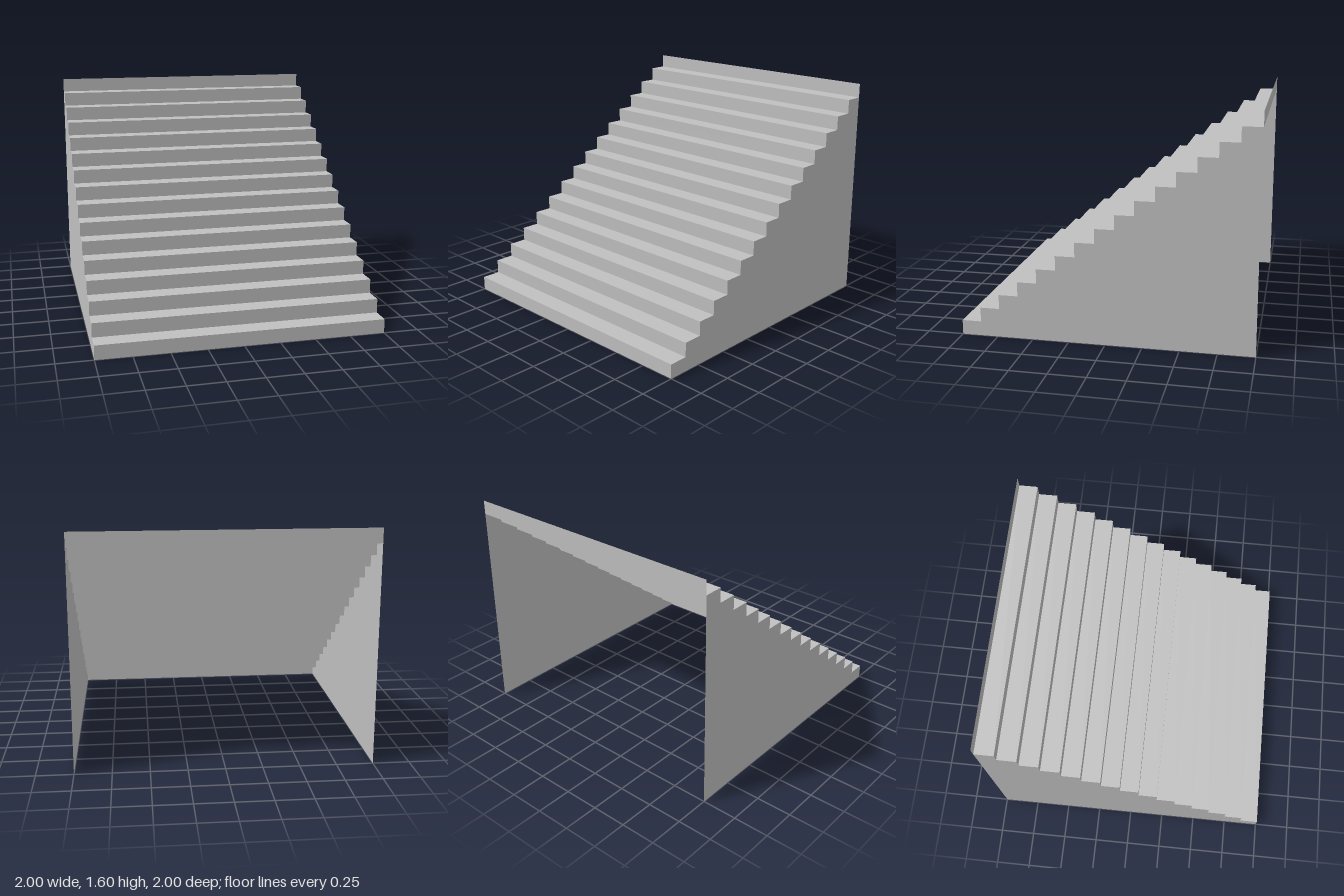
import * as THREE from 'three';

const WIDTH = 2, DEPTH = 2, TREADS = 15, RISE = 0.1;
const RUN = DEPTH / TREADS;
const FRONT = DEPTH / 2;

export function createModel() {
  const model = new THREE.Group();
  model.name = 'staircase';

  // Thin open shell, seen from both sides
  const grey = new THREE.MeshStandardMaterial({ color: 0xbfbfbf, side: THREE.DoubleSide });
  grey.name = 'light grey';

  const add = (name, geometry, parent = model) => {
    const mesh = new THREE.Mesh(geometry, grey);
    mesh.name = name;
    parent.add(mesh);
    return mesh;
  };

  // Risers, with one more than the treads to close the top step
  const risers = new THREE.Group();
  risers.name = 'risers';
  const riserGeometry = new THREE.PlaneGeometry(WIDTH, RISE);
  for (let i = 0; i <= TREADS; i++) {
    add('riser', riserGeometry, risers).position.set(0, (i + 0.5) * RISE, FRONT - i * RUN);
  }

  // Treads
  const treads = new THREE.Group();
  treads.name = 'treads';
  const treadGeometry = new THREE.PlaneGeometry(WIDTH, RUN).rotateX(-Math.PI / 2);
  for (let i = 0; i < TREADS; i++) {
    add('tread', treadGeometry, treads).position.set(0, (i + 1) * RISE, FRONT - (i + 0.5) * RUN);
  }
  model.add(risers, treads);

  // Stepped side panels, facing outwards; the back and underside stay open
  for (const side of [-1, 1]) {
    const shape = new THREE.Shape();
    const toX = (z) => -side * z;
    shape.moveTo(toX(-FRONT), 0);
    shape.lineTo(toX(FRONT), 0);
    for (let i = 0; i < TREADS; i++) {
      const y = (i + 1) * RISE;
      shape.lineTo(toX(FRONT - i * RUN), y);
      shape.lineTo(toX(FRONT - (i + 1) * RUN), y);
    }
    shape.closePath();
    const panel = new THREE.ShapeGeometry(shape).rotateY(side * Math.PI / 2);
    add(side > 0 ? 'leftSidePanel' : 'rightSidePanel', panel).position.x = side * WIDTH / 2;
  }

  return model;
}
